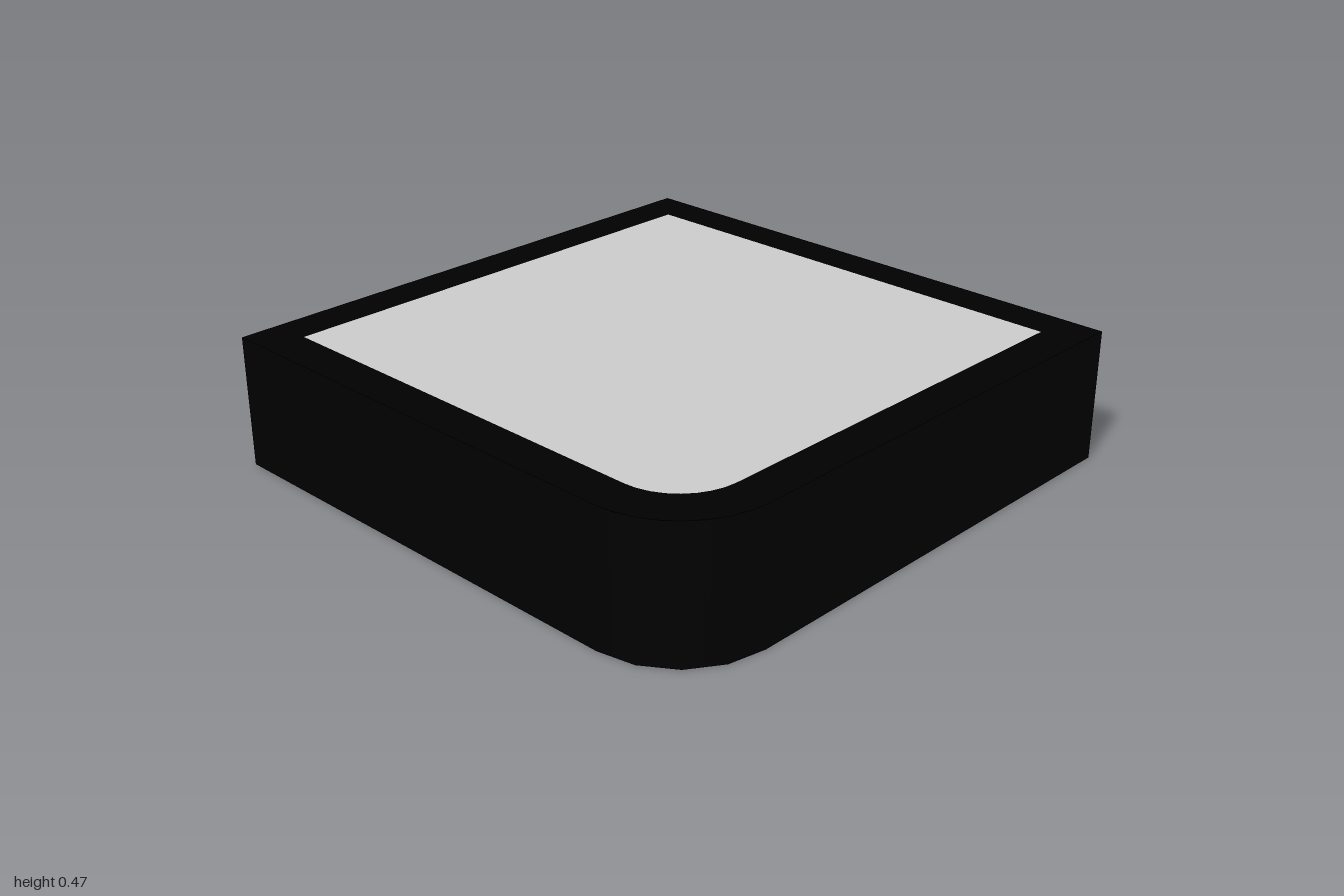
import * as THREE from 'three';

const H = 0.465;      // overall height
const R = 0.335;      // outer corner radius
const INNER = 0.857;  // half width of the panels
const INNER_R = 0.22; // corner radius of the top panel

const frameMat = new THREE.MeshStandardMaterial({ color: 0x000000, side: THREE.DoubleSide });
const panelMat = new THREE.MeshStandardMaterial({ color: 0xcccccc, side: THREE.DoubleSide });

// Square outline with one rounded corner (+x, -y before it is laid flat)
function roundedCornerSquare(half, r) {
  const s = new THREE.Shape();
  s.moveTo(-half, half);
  s.lineTo(-half, -half);
  s.lineTo(half - r, -half);
  s.absarc(half - r, -half + r, r, -Math.PI / 2, 0, false);
  s.lineTo(half, half);
  s.closePath();
  return s;
}

function rectangle(x0, y0, x1, y1) {
  return new THREE.Shape([[x0, y0], [x1, y0], [x1, y1], [x0, y1]].map(p => new THREE.Vector2(...p)));
}

// Frame with an opening, plus the panel that fills it flush
function framedPanel(name, outer, inner) {
  const group = new THREE.Group();
  group.name = name;
  outer.holes.push(inner);
  const frame = new THREE.Mesh(new THREE.ShapeGeometry(outer, 4), frameMat);
  frame.name = name + 'Frame';
  const panel = new THREE.Mesh(new THREE.ShapeGeometry(inner, 4), panelMat);
  panel.name = name + 'Panel';
  group.add(frame, panel);
  return group;
}

export function createModel() {
  const model = new THREE.Group();
  model.name = 'openBottomTile';

  // Top
  const top = framedPanel('top', roundedCornerSquare(1, R), roundedCornerSquare(INNER, INNER_R));
  top.rotation.x = -Math.PI / 2;
  top.position.y = H;
  model.add(top);

  // Back and left sides with inset-coloured panels
  for (const [name, turn, x, z] of [['back', Math.PI, 0, -1], ['left', -Math.PI / 2, -1, 0]]) {
    const side = framedPanel(name + 'Side', rectangle(-1, 0, 1, H), rectangle(-INNER, 0.06, INNER, 0.397));
    side.rotation.y = turn;
    side.position.set(x, 0, z);
    model.add(side);
  }

  // Plain front and right walls, stopping at the rounded corner
  for (const [name, turn, x, z] of [['frontWall', 0, -R / 2, 1], ['rightWall', Math.PI / 2, 1, -R / 2]]) {
    const wall = new THREE.Mesh(new THREE.PlaneGeometry(2 - R, H), frameMat);
    wall.name = name;
    wall.rotation.y = turn;
    wall.position.set(x, H / 2, z);
    model.add(wall);
  }

  // Rounded corner wall
  const corner = new THREE.Mesh(
    new THREE.LatheGeometry([new THREE.Vector2(R, 0), new THREE.Vector2(R, H)], 4, 0, Math.PI / 2),
    frameMat
  );
  corner.name = 'roundedCorner';
  corner.position.set(1 - R, 0, 1 - R);
  model.add(corner);

  return model;
}
